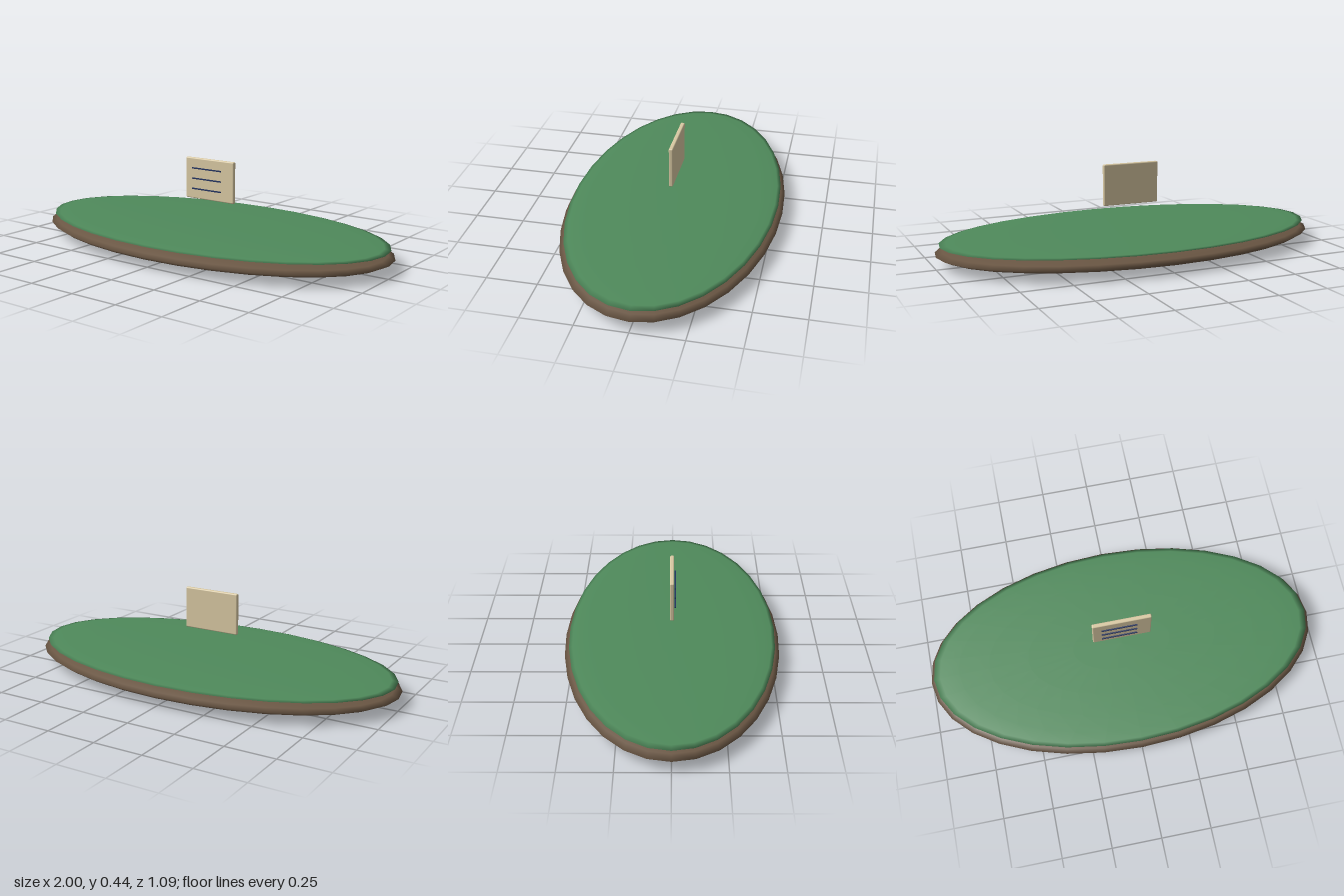
import * as THREE from 'three';
import { RoundedBoxGeometry } from 'three/addons/geometries/RoundedBoxGeometry.js';

const flat = (name, color) => new THREE.MeshStandardMaterial({ name, color });

export function createModel() {
  const group = new THREE.Group();
  group.name = 'floatingNoteIsland';

  const soil = flat('soilBrown', 0x6b5744);
  const grass = flat('grassGreen', 0x4f8a5b);
  const paper = flat('paperCream', 0xd9c9a3);
  const ink = flat('inkNavy', 0x22335f);

  const add = (name, geometry, material, x, y, z) => {
    const mesh = new THREE.Mesh(geometry, material);
    mesh.name = name;
    mesh.position.set(x, y, z);
    group.add(mesh);
    return mesh;
  };

  // Flattened, oval lenses: the soil base and the grass on top of it
  const lens = (rx, ry, rz) => new THREE.SphereGeometry(1, 32, 12).scale(rx, ry, rz);
  add('soilBase', lens(1, 0.06, 0.545), soil, 0, 0.06, 0);
  add('grassTop', lens(0.98, 0.0175, 0.522), grass, 0, 0.104, 0);

  // Card hovering above the middle
  add('card', new RoundedBoxGeometry(0.296, 0.21, 0.021, 2, 0.006), paper, 0, 0.34, 0);

  // Ruled lines just in front of the card
  const line = new THREE.BoxGeometry(0.18, 0.006, 0.006);
  [0.287, 0.34, 0.393].forEach((y, i) => add('cardLine' + (i + 1), line, ink, -0.014, y, 0.016));

  return group;
}
